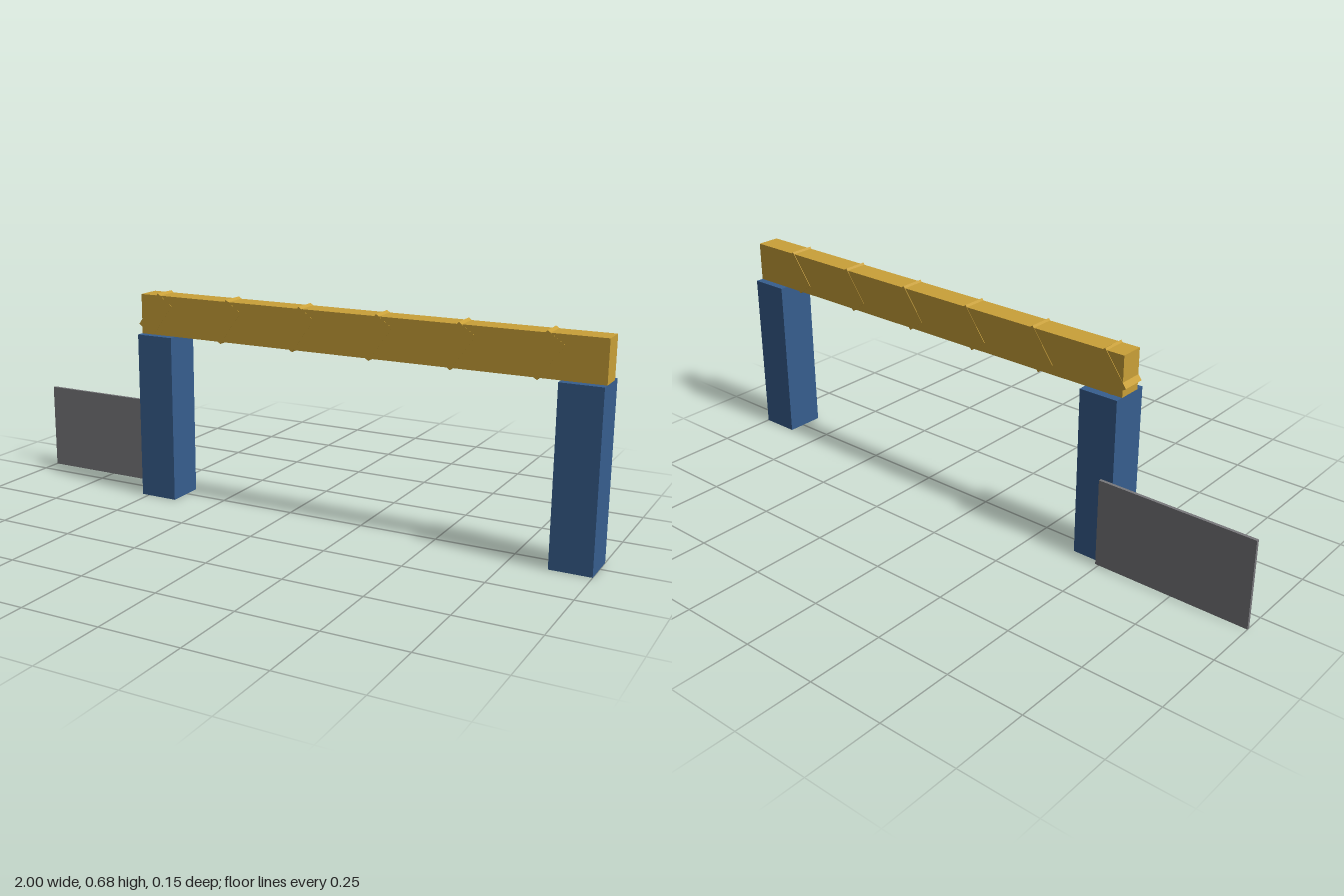
import * as THREE from 'three';

const material = (name, color) => {
  const m = new THREE.MeshStandardMaterial({ color });
  m.name = name;
  return m;
};

// Box given by its minimum and maximum corners
function box(name, mat, [x0, y0, z0], [x1, y1, z1]) {
  const mesh = new THREE.Mesh(new THREE.BoxGeometry(x1 - x0, y1 - y0, z1 - z0), mat);
  mesh.position.set((x0 + x1) / 2, (y0 + y1) / 2, (z0 + z1) / 2);
  mesh.name = name;
  return mesh;
}

export function createModel() {
  const group = new THREE.Group();
  group.name = 'gateway';
  const gold = material('gold', 0xc9a038);
  const blue = material('blue', 0x375e8e);
  const grey = material('grey', 0x78787b);

  // Two square posts
  group.add(box('rightPost', blue, [-0.524, 0, -0.055], [-0.396, 0.543, 0.073]));
  group.add(box('leftPost', blue, [0.872, 0, -0.055], [1, 0.543, 0.073]));

  // Crossbeam
  group.add(box('beam', gold, [-0.524, 0.543, -0.029], [1, 0.672, 0.0475]));

  // Slanted bands, whose corners poke out above and below the beam
  for (let i = 0; i < 6; i++) {
    const band = new THREE.Mesh(new THREE.BoxGeometry(0.064, 0.129, 0.0788), gold);
    band.position.set(-0.472 + i * 0.2575, 0.6075, 0.0088);
    band.rotation.z = -0.62;
    band.name = 'band' + (i + 1);
    group.add(band);
  }

  // Thin side panel behind the right post
  group.add(box('sidePanel', grey, [-1, 0, -0.073], [-0.488, 0.285, -0.063]));
  return group;
}
